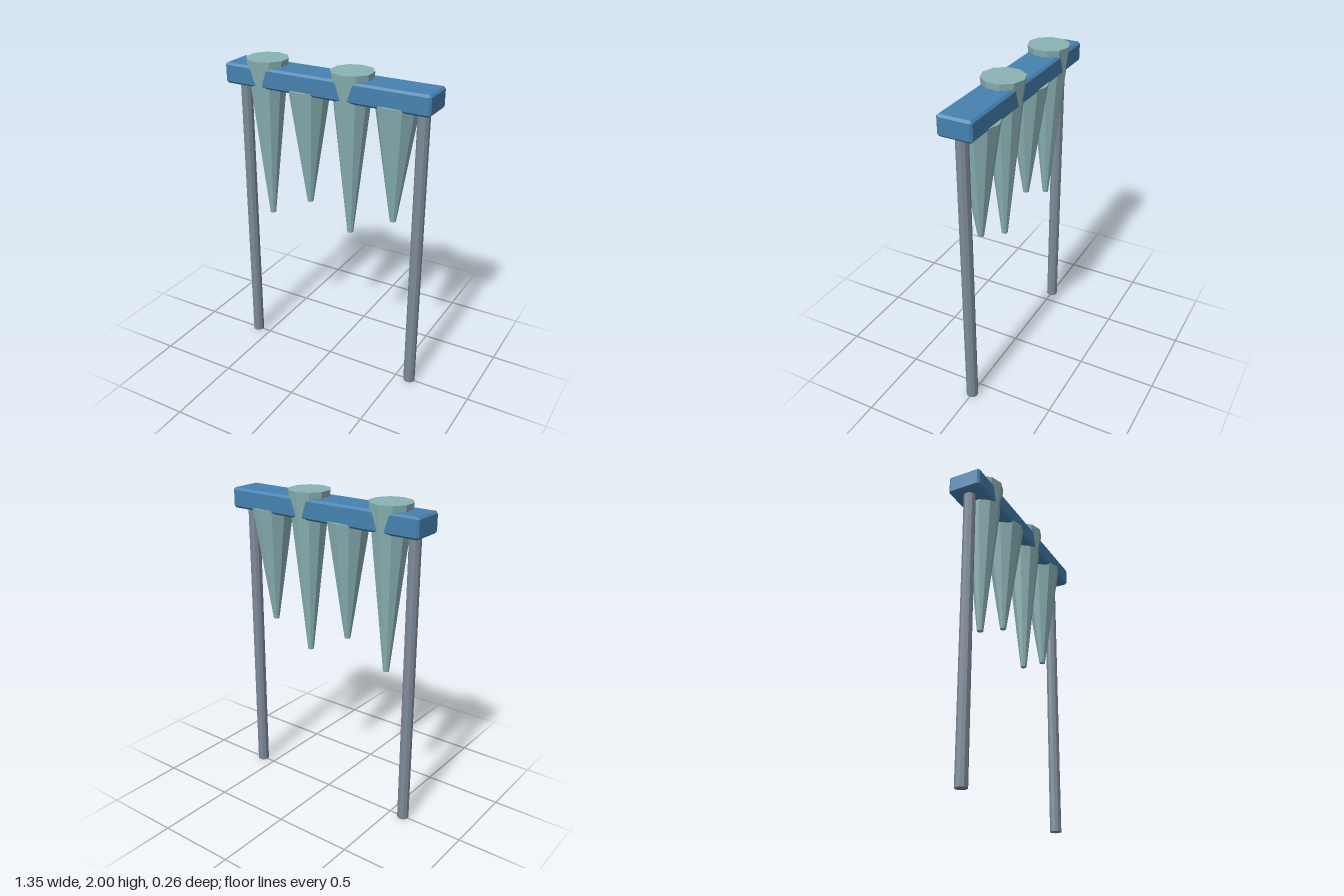
import * as THREE from 'three';
import { ConvexGeometry } from 'three/addons/geometries/ConvexGeometry.js';

const material = (name, color) => {
  const m = new THREE.MeshStandardMaterial({ color });
  m.name = name;
  return m;
};

// Box with every edge and corner chamfered by c
function chamferedBox(w, h, d, c) {
  const points = [];
  for (const x of [-w / 2, w / 2])
    for (const y of [-h / 2, h / 2])
      for (const z of [-d / 2, d / 2]) {
        const ix = x - Math.sign(x) * c, iy = y - Math.sign(y) * c, iz = z - Math.sign(z) * c;
        points.push(
          new THREE.Vector3(x, iy, iz),
          new THREE.Vector3(ix, y, iz),
          new THREE.Vector3(ix, iy, z)
        );
      }
  return new ConvexGeometry(points);
}

// Faceted upright between two heights
function facetedColumn(rTop, rBottom, yBottom, yTop, sides) {
  const g = new THREE.CylinderGeometry(rTop, rBottom, yTop - yBottom, sides)
    .translate(0, (yTop + yBottom) / 2, 0)
    .toNonIndexed();
  g.computeVertexNormals();
  return g;
}

export function createModel() {
  const group = new THREE.Group();
  group.name = 'icicleFrame';
  const beamBlue = material('beamBlue', 0x4682b0);
  const postGrey = material('postGrey', 0x7d8b99);
  const iceGreen = material('iceGreen', 0x8bb2b5);

  const add = (name, geometry, mat, x = 0, y = 0) => {
    const mesh = new THREE.Mesh(geometry, mat);
    mesh.name = name;
    mesh.position.set(x, y, 0);
    group.add(mesh);
  };

  // Crossbeam
  add('crossbeam', chamferedBox(1.346, 0.126, 0.214, 0.013), beamBlue, 0, 1.898);

  // Posts
  const post = facetedColumn(0.037, 0.037, 0, 1.86, 10);
  add('rightPost', post, postGrey, -0.595);
  add('leftPost', post, postGrey, 0.595);

  // Alternating long and short hanging spikes
  const longSpike = facetedColumn(0.131, 0.019, 0.975, 2, 10);
  const shortSpike = facetedColumn(0.131, 0.019, 1.12, 1.855, 10);
  for (let i = 0; i < 4; i++) {
    const long = i % 2 === 0;
    add(long ? 'longSpike' : 'shortSpike', long ? longSpike : shortSpike, iceGreen, (i - 1.5) * 0.288);
  }
  return group;
}
